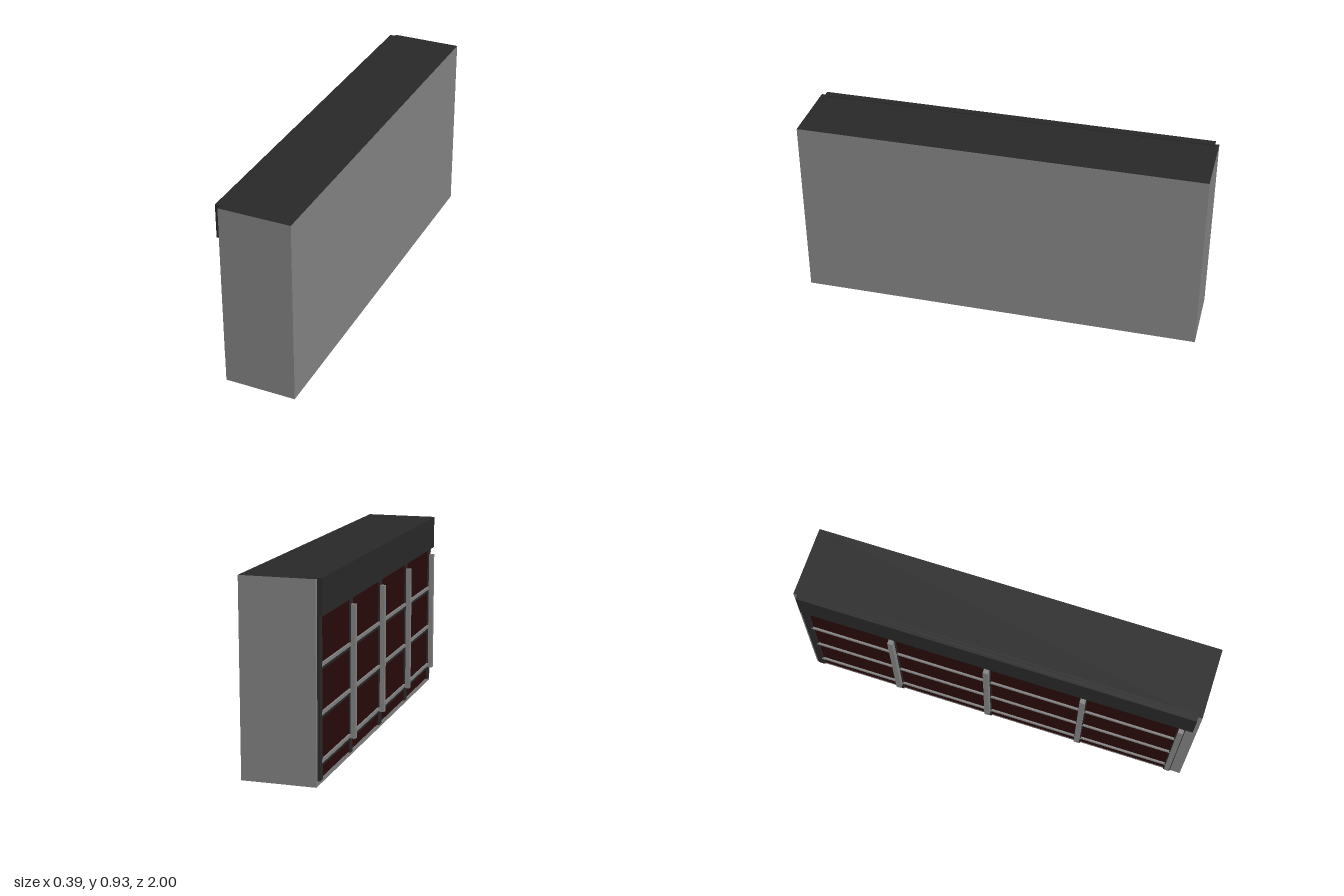
import * as THREE from 'three';

export function createModel() {
  const model = new THREE.Group();
  const mat = (name, color) => {
    const m = new THREE.MeshStandardMaterial({ color });
    m.name = name;
    return m;
  };
  const grey = mat('grey', 0x828282);
  const dark = mat('charcoal', 0x292929);
  const red = mat('dark red', 0x280a0a);

  // Box given by its lower and upper limits on each axis
  const box = (name, material, [x0, x1], [y0, y1], [z0, z1]) => {
    const mesh = new THREE.Mesh(new THREE.BoxGeometry(x1 - x0, y1 - y0, z1 - z0), material);
    mesh.position.set((x0 + x1) / 2, (y0 + y1) / 2, (z0 + z1) / 2);
    mesh.name = name;
    model.add(mesh);
    return mesh;
  };

  // Cabinet body with a dark top face
  box('body', [grey, grey, dark, grey, grey, grey], [-0.16, 0.193], [0, 0.927], [-1, 1]);

  // Header over the shelf side, with a thin lip lapping onto the top
  box('header', dark, [-0.183, -0.16], [0.762, 0.93], [-0.98, 0.98]);
  box('headerLip', dark, [-0.16, -0.145], [0.926, 0.93], [-0.98, 0.98]);

  // Back panel of the shelf side
  box('backPanel', red, [-0.164, -0.159], [0.03, 0.82], [-0.965, 0.945]);

  // Upright tracks, with a raised post on all but the end one
  const uprights = [0.928, 0.445, -0.038, -0.521];
  for (const z of [...uprights, -0.965]) {
    box('track', dark, [-0.172, -0.16], [0.025, 0.8], [z - 0.018, z + 0.018]);
  }
  for (const z of uprights) {
    box('post', grey, [-0.195, -0.171], [0.092, 0.73], [z - 0.013, z + 0.013]);
  }

  // Horizontal rails with a dark strip below each
  for (const y of [0.108, 0.325, 0.543]) {
    box('rail', grey, [-0.173, -0.16], [y - 0.008, y + 0.008], [-0.955, 0.92]);
    box('railStrip', dark, [-0.168, -0.16], [y - 0.024, y - 0.008], [-0.955, 0.92]);
  }

  return model;
}
